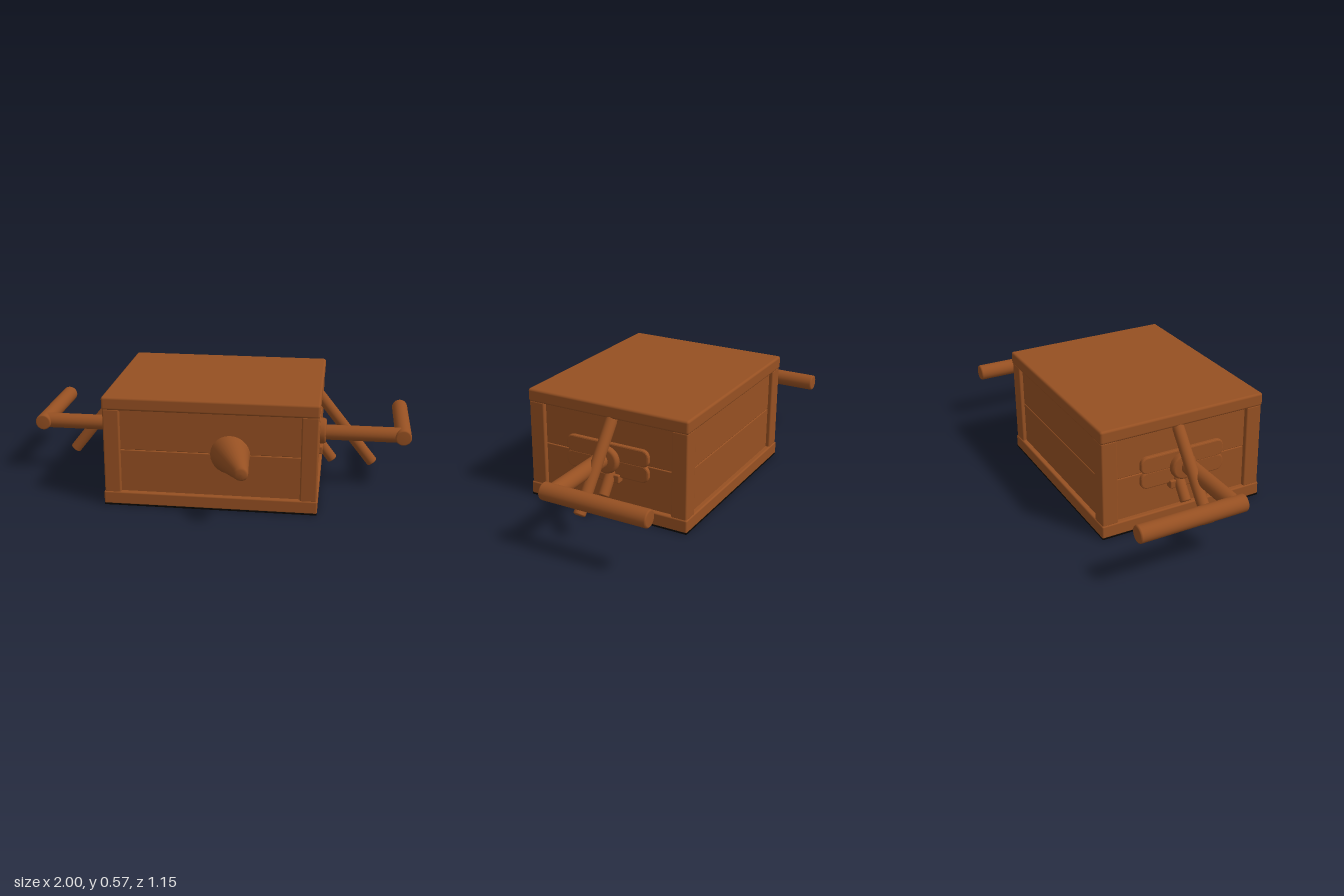
import * as THREE from 'three';
import { RoundedBoxGeometry } from 'three/addons/geometries/RoundedBoxGeometry.js';

export function createModel() {
  const model = new THREE.Group();
  model.name = 'crankChest';
  const wood = new THREE.MeshStandardMaterial({ name: 'brownWood', color: 0x965022 });
  const dark = new THREE.MeshStandardMaterial({ name: 'blackTrim', color: 0x080604 });

  const add = (name, geometry, parent = model, material = wood) => {
    const mesh = new THREE.Mesh(geometry, material);
    mesh.name = name;
    parent.add(mesh);
    return mesh;
  };
  // Rounded box given by its minimum and maximum corners
  const box = (name, a, b, r = 0.008, parent = model) => {
    const g = new RoundedBoxGeometry(b[0] - a[0], b[1] - a[1], b[2] - a[2], 2, r);
    g.translate((a[0] + b[0]) / 2, (a[1] + b[1]) / 2, (a[2] + b[2]) / 2);
    return add(name, g, parent);
  };
  // Round rod with softened ends between two points
  const rod = (name, from, to, r, parent = model) => {
    const a = new THREE.Vector3(...from), b = new THREE.Vector3(...to);
    const h = a.distanceTo(b) / 2, e = r * 0.2;
    const pts = [[0, -h], [r - e, -h], [r - e * 0.3, -h + e * 0.3], [r, -h + e],
      [r, h - e], [r - e * 0.3, h - e * 0.3], [r - e, h], [0, h]];
    const mesh = add(name, new THREE.LatheGeometry(pts.map(p => new THREE.Vector2(...p)), 24), parent);
    mesh.position.copy(a).add(b).multiplyScalar(0.5);
    mesh.quaternion.setFromUnitVectors(new THREE.Vector3(0, 1, 0), b.sub(a).normalize());
    return mesh;
  };

  const X = 0.535, Z0 = -0.53, Z1 = 0.345, P = 0.083;

  // Lid, base and inner core
  box('lid', [-X, 0.5, Z0], [X, 0.567, Z1], 0.012);
  box('base', [-X, 0.005, Z0], [X, 0.072, Z1], 0.008);
  box('core', [-0.5, 0.06, Z0 + 0.035], [0.5, 0.51, Z1 - 0.035], 0.004);

  // Corner posts
  for (const x of [-X + 0.004, X - 0.004 - P])
    for (const z of [Z0 + 0.004, Z1 - 0.004 - P])
      box('cornerPost', [x, 0.065, z], [x + P, 0.505, z + P]);

  // Two horizontal planks on every wall
  for (const [y0, y1] of [[0.068, 0.289], [0.291, 0.504]]) {
    box('frontPlank', [-0.46, y0, Z1 - 0.06], [0.46, y1, Z1 - 0.025], 0.004);
    box('backPlank', [-0.46, y0, Z0 + 0.025], [0.46, y1, Z0 + 0.06], 0.004);
    for (const s of [-1, 1])
      box('sidePlank', [s * 0.4925 - 0.0175, y0, -0.455], [s * 0.4925 + 0.0175, y1, 0.27], 0.004);
  }

  // Black strips under the front and back edges and along the sides
  const strip = (w, d, x, z) =>
    add('bottomTrim', new THREE.BoxGeometry(w, 0.009, d), model, dark).position.set(x, 0.0045, z);
  strip(2 * X - 0.002, 0.08, 0, Z1 - 0.041);
  strip(2 * X - 0.002, 0.08, 0, Z0 + 0.041);
  for (const s of [-1, 1]) strip(0.008, Z1 - Z0 - 0.16, s * (X - 0.005), (Z0 + Z1) / 2);

  // Blunt spout on the front, sheared towards +x
  const profile = [[0.1, 0], [0.098, 0.008], [0.09, 0.025], [0.036, 0.24], [0.032, 0.25], [0.022, 0.255], [0, 0.256]];
  const spout = new THREE.LatheGeometry(profile.map(p => new THREE.Vector2(...p)), 28);
  spout.rotateX(Math.PI / 2);
  const pos = spout.attributes.position;
  for (let i = 0; i < pos.count; i++) pos.setX(i, pos.getX(i) + pos.getZ(i) * 0.33);
  spout.computeVertexNormals();
  add('frontSpout', spout).position.set(0.1, 0.288, 0.317);

  // Crank, mounting plates and levers on both sides
  for (const s of [-1, 1]) {
    const side = new THREE.Group();
    side.name = s > 0 ? 'leftCrank' : 'rightCrank';
    model.add(side);
    // Rounded backing bars
    for (const y of [0.25, 0.329]) {
      const w = 0.19, h = 0.008, r = 0.029;
      const shape = new THREE.Shape();
      shape.moveTo(-w, -h);
      shape.absarc(w, -h, r, -Math.PI / 2, 0);
      shape.absarc(w, h, r, 0, Math.PI / 2);
      shape.absarc(-w, h, r, Math.PI / 2, Math.PI);
      shape.absarc(-w, -h, r, Math.PI, Math.PI * 1.5);
      const g = new THREE.ExtrudeGeometry(shape, { depth: 0.02, bevelThickness: 0.007, bevelSize: 0.007, bevelSegments: 2, curveSegments: 8 });
      g.translate(0, 0, -0.01).rotateY(Math.PI / 2);
      add('backingBar', g, side).position.set(s * 0.512, y, -0.095);
    }
    rod('axleCollar', [s * 0.5, 0.29, -0.1], [s * 0.56, 0.29, -0.1], 0.068, side);
    rod('crankAxle', [s * 0.5, 0.29, -0.08], [s * 0.957, 0.29, -0.08], 0.04, side);
    rod('crankHandle', [s * 0.957, 0.29, -0.03], [s * 0.957, 0.29, -0.573], 0.042, side);
    // Slanted lever, short lever and its bracket
    rod('slantedLever', [s * 0.5, 0.505, -0.117], [s * 0.806, 0.12, -0.117], 0.029, side);
    rod('shortLever', [s * 0.515, 0.235, -0.117], [s * 0.597, 0.127, -0.117], 0.027, side);
    box('leverBracket', [s * 0.522 - 0.022, 0.18, -0.17], [s * 0.522 + 0.022, 0.222, -0.035], 0.006, side);
  }
  return model;
}
